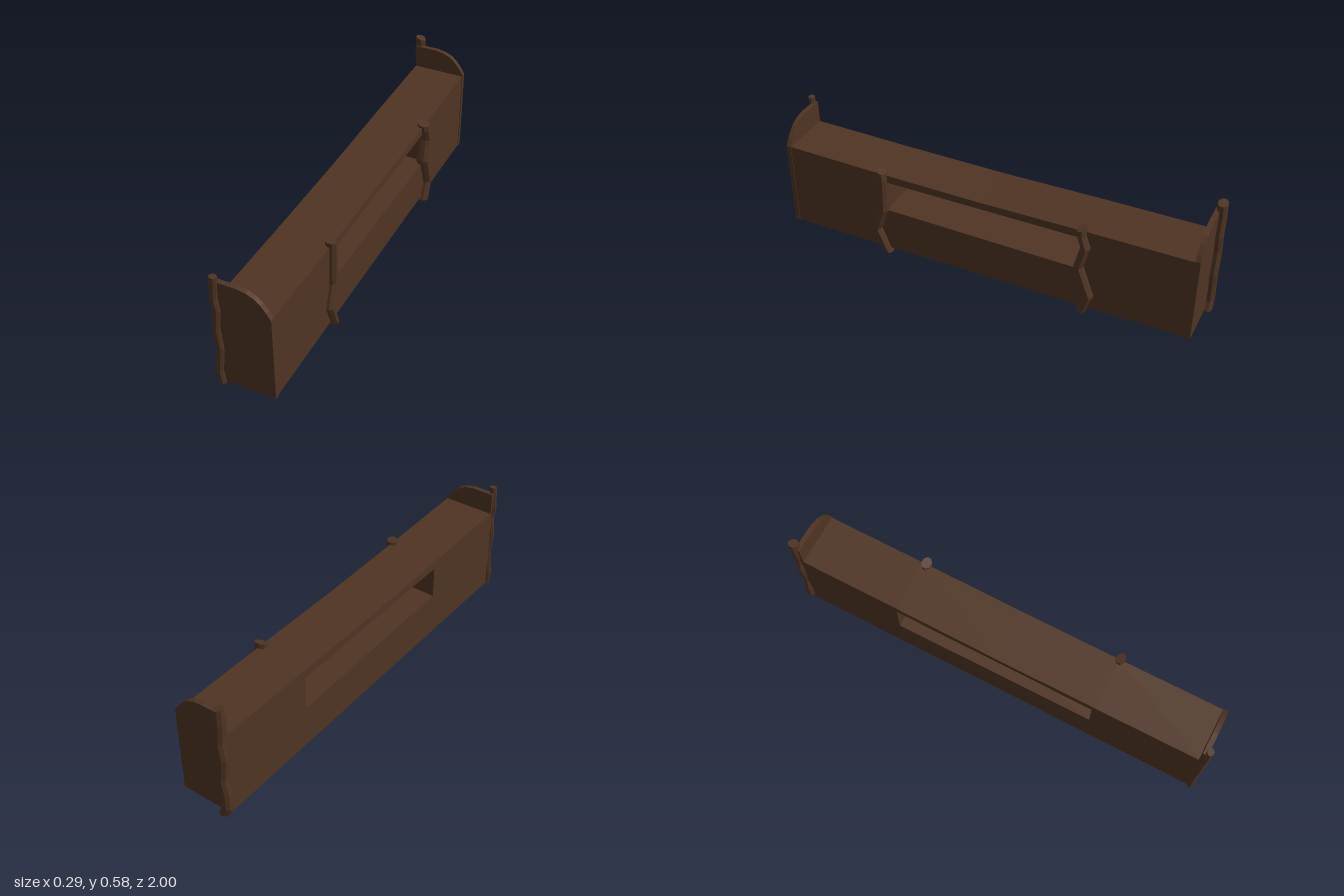
import * as THREE from 'three';

const wood = new THREE.MeshStandardMaterial({ color: 0x4f3423, flatShading: true });
wood.name = 'dark wood';

function add(group, name, geometry) {
  const mesh = new THREE.Mesh(geometry, wood);
  mesh.name = name;
  group.add(mesh);
  return mesh;
}

const toShape = (pts) => new THREE.Shape(pts.map(([x, y]) => new THREE.Vector2(x, y)));

// Crooked log: horizontal elliptical rings along [x, y, z] points, with a slanted top cut
function logGeometry(path, rx, rz, tilt = [0, 0], sides = 8) {
  const pos = [], index = [];
  path.forEach(([x, y, z], i) => {
    const last = i === path.length - 1;
    for (let k = 0; k < sides; k++) {
      const a = ((k + 0.5) / sides) * Math.PI * 2;
      const c = Math.cos(a), s = Math.sin(a);
      pos.push(x + rx * c, y + (last ? tilt[0] * c + tilt[1] * s : 0), z + rz * s);
    }
  });
  for (let i = 0; i < path.length - 1; i++) {
    for (let k = 0; k < sides; k++) {
      const a = i * sides + k, b = i * sides + (k + 1) % sides;
      index.push(a, a + sides, b, b, a + sides, b + sides);
    }
  }
  const top = (path.length - 1) * sides;
  for (let k = 1; k < sides - 1; k++) {
    index.push(0, k, k + 1);
    index.push(top, top + k + 1, top + k);
  }
  const g = new THREE.BufferGeometry();
  g.setAttribute('position', new THREE.Float32BufferAttribute(pos, 3));
  g.setIndex(index);
  const flat = g.toNonIndexed();
  flat.computeVertexNormals();
  return flat;
}

export function createModel() {
  const model = new THREE.Group();
  model.name = 'trough';

  // Long body with a slightly sagging top and a window through its middle (drawn as -z, y)
  const side = toShape([
    [-0.965, 0.022], [0.955, 0.022], [0.955, 0.43], [0.48, 0.428],
    [0, 0.422], [-0.48, 0.426], [-0.965, 0.435],
  ]);
  side.holes.push(new THREE.Path([
    [-0.47, 0.235], [-0.47, 0.388], [0.48, 0.388], [0.48, 0.222],
  ].map(([x, y]) => new THREE.Vector2(x, y))));
  const bodyGeo = new THREE.ExtrudeGeometry(side, { depth: 0.245, bevelEnabled: false });
  bodyGeo.rotateY(Math.PI / 2).translate(-0.13, 0, 0);
  add(model, 'body', bodyGeo);

  // End boards with a rounded shoulder
  const board = toShape([
    [-0.13, 0.021], [0.118, 0.021], [0.118, 0.435], [0.1, 0.465], [0.075, 0.496],
    [0.048, 0.519], [0.015, 0.533], [-0.025, 0.54], [-0.13, 0.54],
  ]);
  [['frontBoard', 0.96], ['backBoard', -0.97]].forEach(([name, z]) => {
    const g = new THREE.ExtrudeGeometry(board, { depth: 0.022, bevelEnabled: false });
    add(model, name, g.translate(0, 0, z));
  });

  // Crooked corner posts on the right edge of the end boards
  add(model, 'frontCornerPost', logGeometry([
    [-0.121, 0.015, 0.985], [-0.129, 0.08, 0.985], [-0.116, 0.2, 0.984], [-0.127, 0.31, 0.985],
    [-0.117, 0.4, 0.985], [-0.126, 0.46, 0.985], [-0.119, 0.569, 0.985],
  ], 0.018, 0.015));
  add(model, 'backCornerPost', logGeometry([
    [-0.108, 0.016, -0.978], [-0.125, 0.06, -0.978], [-0.124, 0.13, -0.977], [-0.112, 0.21, -0.978],
    [-0.125, 0.33, -0.978], [-0.113, 0.41, -0.977], [-0.121, 0.5, -0.977], [-0.12, 0.576, -0.976],
  ], 0.024, 0.023, [-0.007, 0]));

  // Crooked posts either side of the window
  add(model, 'frontWindowPost', logGeometry([
    [0.114, 0.001, 0.474], [0.116, 0.03, 0.485], [0.118, 0.125, 0.522], [0.117, 0.235, 0.485],
    [0.116, 0.4, 0.481], [0.115, 0.443, 0.484],
  ], 0.026, 0.021, [0, 0.006]));
  add(model, 'backWindowPost', logGeometry([
    [0.116, 0.003, -0.482], [0.117, 0.095, -0.512], [0.119, 0.245, -0.459],
    [0.117, 0.35, -0.485], [0.116, 0.41, -0.465], [0.115, 0.444, -0.463],
  ], 0.03, 0.022, [-0.003, -0.006]));

  return model;
}
